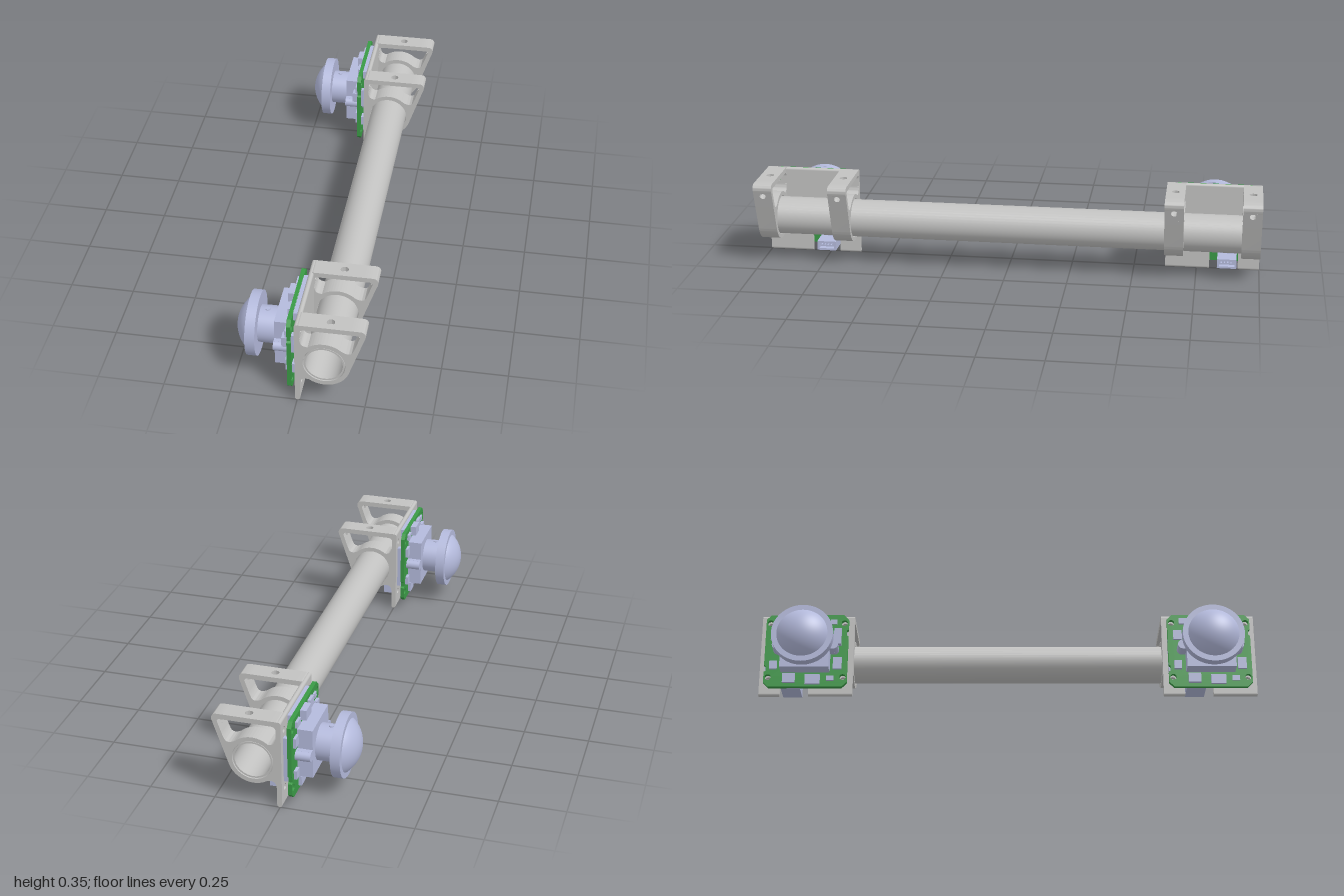
import * as THREE from 'three';
import { toCreasedNormals } from 'three/addons/utils/BufferGeometryUtils.js';

const metal = new THREE.MeshStandardMaterial({ color: 0xc2c2c1 });
metal.name = 'light grey metal';
const lilac = new THREE.MeshStandardMaterial({ color: 0xb4badc });
lilac.name = 'pale lilac';
const green = new THREE.MeshStandardMaterial({ color: 0x3a9a46 });
green.name = 'circuit green';

const AXIS_X = 0.1, AXIS_Y = 0.183;   // tube axis
const HALF = 0.1875, RIB = 0.0745;    // bracket half length, rib width
const LENS_Y = 0.185;

function add(parent, name, geo, mat) {
  const m = new THREE.Mesh(geo, mat);
  m.name = name;
  parent.add(m);
  return m;
}
function extrude(shape, depth) {
  const g = new THREE.ExtrudeGeometry(shape, { depth, bevelEnabled: false, curveSegments: 20 });
  return toCreasedNormals(g, 0.5);
}
function hole(shape, x, y, r) {
  shape.holes.push(new THREE.Path().absarc(x, y, r, 0, Math.PI * 2, true));
}
function poly(points) {
  return new THREE.Shape(points.map(p => new THREE.Vector2(p[0], p[1])));
}
// box given by its limits in x, y and z
function block(parent, name, [x0, x1], [y0, y1], [z0, z1], mat) {
  const m = add(parent, name, new THREE.BoxGeometry(x1 - x0, y1 - y0, z1 - z0), mat);
  m.position.set((x0 + x1) / 2, (y0 + y1) / 2, (z0 + z1) / 2);
  return m;
}
// cylinder along x
function rod(parent, name, r, x0, x1, y, z, mat, sides = 48) {
  const g = new THREE.CylinderGeometry(r, r, x1 - x0, sides).rotateZ(Math.PI / 2);
  const m = add(parent, name, g, mat);
  m.position.set((x0 + x1) / 2, y, z);
}
// cylinder along z
function edgeRound(parent, y, z0, z1) {
  const g = new THREE.CylinderGeometry(0.0095, 0.0095, z1 - z0, 20).rotateX(Math.PI / 2);
  const m = add(parent, 'roundedPlateEdge', g, metal);
  m.position.set(0.0015, y, (z0 + z1) / 2);
}

function clampRib() {
  const rib = new THREE.Group();
  rib.name = 'clampRib';
  // ring around the tube, with its webs to plate and strut
  const ring = new THREE.Shape();
  const deg = Math.PI / 180;
  ring.moveTo(0.009, 0.07);
  ring.lineTo(0.012, 0.085);
  ring.quadraticCurveTo(0.014, 0.112, 0.0455, 0.105);
  ring.absarc(AXIS_X, AXIS_Y, 0.095, -125 * deg, -18.7 * deg, false);
  ring.lineTo(0.2297, 0.27);
  ring.lineTo(0.2127, 0.2758);
  ring.lineTo(0.205, 0.256);
  ring.quadraticCurveTo(0.194, 0.236, 0.1636, 0.2536);
  ring.absarc(AXIS_X, AXIS_Y, 0.095, 48 * deg, 128 * deg, false);
  ring.quadraticCurveTo(0.014, 0.257, 0.012, 0.285);
  ring.lineTo(0.009, 0.285);
  hole(ring, AXIS_X, AXIS_Y, 0.078);
  add(rib, 'clampRing', extrude(ring, RIB), metal);

  // rounded corners of the upper frame
  const inner = new THREE.Shape();
  inner.moveTo(-0.008, 0.33);
  inner.lineTo(0.011, 0.32);
  inner.quadraticCurveTo(0.011, 0.335, 0.03, 0.335);
  inner.lineTo(0.03, 0.355);
  inner.lineTo(0.012, 0.355);
  inner.quadraticCurveTo(-0.008, 0.355, -0.008, 0.337);
  add(rib, 'innerCorner', extrude(inner, RIB), metal);
  const outer = new THREE.Shape();
  outer.moveTo(0.2, 0.335);
  outer.lineTo(0.214, 0.335);
  outer.quadraticCurveTo(0.229, 0.337, 0.2296, 0.3258);
  outer.lineTo(0.2466, 0.32);
  outer.bezierCurveTo(0.256, 0.34, 0.248, 0.355, 0.23, 0.355);
  outer.lineTo(0.2, 0.355);
  add(rib, 'outerCorner', extrude(outer, RIB), metal);

  // drilled top bar
  const bar = poly([[0.03, -RIB], [0.2, -RIB], [0.2, 0], [0.03, 0]]);
  hole(bar, 0.12, -RIB / 2, 0.015);
  const barGeo = extrude(bar, 0.02).rotateX(-Math.PI / 2);
  add(rib, 'topBar', barGeo, metal).position.y = 0.335;

  // drilled sloping strut
  const strut = poly([[0, 0], [0.0528, 0], [0.0528, RIB], [0, RIB]]);
  hole(strut, 0.037, RIB / 2, 0.0125);
  const frame = new THREE.Matrix4().makeBasis(
    new THREE.Vector3(0.3204, 0.9473, 0),
    new THREE.Vector3(0, 0, 1),
    new THREE.Vector3(0.9473, -0.3204, 0)).setPosition(0.2127, 0.2758, 0);
  add(rib, 'slopingStrut', extrude(strut, 0.018).applyMatrix4(frame), metal);
  return rib;
}

function bracket() {
  const g = new THREE.Group();
  g.name = 'bracket';
  // mounting plate with a cable notch in its foot (shape x runs along -z)
  const plate = poly([[-HALF, 0.0095], [-0.0115, 0.0095], [-0.0115, 0.1], [0.1025, 0.1],
    [0.1025, 0.0095], [HALF, 0.0095], [HALF, 0.3455], [-HALF, 0.3455]]);
  for (const s of [-1, 1]) for (const y of [0.067, 0.307]) hole(plate, s * 0.15, y, 0.0125);
  add(g, 'mountingPlate', extrude(plate, 0.019).rotateY(Math.PI / 2), metal).position.x = -0.008;
  edgeRound(g, 0.3455, -HALF, HALF);
  edgeRound(g, 0.0095, -HALF, -0.1025);
  edgeRound(g, 0.0095, 0.0115, HALF);
  for (const z of [-HALF, HALF - RIB]) {
    const rib = clampRib();
    rib.position.z = z;
    g.add(rib);
  }
  return g;
}

function cameraModule() {
  const g = new THREE.Group();
  g.name = 'cameraModule';
  // circuit board with cut corners and edge notches
  const half = [[-0.167, 0.045], [-0.147, 0.025], [0.147, 0.025], [0.167, 0.045],
    [0.167, 0.09], [0.16, 0.095], [0.16, 0.115], [0.167, 0.12]];
  const board = poly([...half, ...half.map(([x, y]) => [-x, 0.368 - y])]);
  for (const s of [-1, 1]) for (const y of [0.067, 0.307]) hole(board, s * 0.15, y, 0.0125);
  add(g, 'circuitBoard', extrude(board, 0.016).rotateY(Math.PI / 2), green).position.x = -0.04;

  // lens housing and its two screw posts
  block(g, 'lensHousing', [-0.098, -0.04], [0.087, 0.283], [-0.098, 0.098], lilac);
  for (const s of [-1, 1]) {
    rod(g, 'screwPost', 0.0195, -0.098, -0.01, LENS_Y, s * 0.113, lilac, 24);
    block(g, 'postWeb', [-0.098, -0.04], [0.1655, 0.2045], [s * 0.105 - 0.01, s * 0.105 + 0.01], lilac);
  }

  // lens
  rod(g, 'lensBarrel', 0.07, -0.17, -0.097, LENS_Y, 0, lilac);
  rod(g, 'lensRim', 0.1225, -0.205, -0.168, LENS_Y, 0, lilac, 64);
  const dome = new THREE.SphereGeometry(0.13, 64, 16, 0, Math.PI * 2, 0, 0.885).rotateZ(Math.PI / 2);
  add(g, 'lensDome', dome, lilac).position.set(-0.123, LENS_Y, 0);
  const screw = add(g, 'lockScrew', new THREE.CylinderGeometry(0.009, 0.009, 0.006, 16), lilac);
  screw.position.set(-0.14, LENS_Y + 0.07, 0);

  // components on the lens side: depth, y range, z range
  const front = [
    [0.024, [0.3, 0.34], [-0.06, 0.0]], [0.024, [0.205, 0.247], [0.105, 0.14]],
    [0.012, [0.295, 0.33], [0.03, 0.075]], [0.012, [0.25, 0.28], [0.11, 0.14]],
    [0.012, [0.04, 0.08], [-0.09, -0.04]], [0.01, [0.035, 0.075], [0.0, 0.06]],
    [0.012, [0.1, 0.135], [-0.145, -0.115]], [0.01, [0.23, 0.27], [-0.145, -0.11]],
    [0.01, [0.1, 0.15], [0.11, 0.145]], [0.01, [0.3, 0.325], [-0.12, -0.08]],
    [0.008, [0.05, 0.07], [0.085, 0.115]], [0.008, [0.3, 0.32], [0.095, 0.12]],
  ];
  for (const [d, y, z] of front) block(g, 'frontComponent', [-0.04 - d, -0.039], y, z, lilac);

  // components on the plate side
  const back = [
    [0.015, [0.1, 0.28], [-0.166, -0.145]], [0.015, [0.31, 0.343], [-0.11, 0.11]],
    [0.012, [0.12, 0.25], [-0.07, 0.07]], [0.01, [0.2, 0.28], [0.14, 0.16]],
    [0.01, [0.1, 0.14], [0.125, 0.155]], [0.008, [0.035, 0.075], [0.03, 0.1]],
  ];
  for (const [d, y, z] of back) block(g, 'backComponent', [-0.025, -0.024 + d], y, z, lilac);

  // cable socket reaching through the notch
  block(g, 'cableSocket', [-0.025, 0.045], [0.025, 0.063], [-0.097, -0.02], lilac);
  block(g, 'socketFloor', [0.045, 0.068], [0.025, 0.033], [-0.097, -0.02], lilac);
  block(g, 'socketTop', [0.045, 0.068], [0.055, 0.063], [-0.097, -0.02], lilac);
  for (const z of [-0.097, -0.028]) {
    block(g, 'socketCheek', [0.045, 0.068], [0.033, 0.055], [z, z + 0.008], lilac);
  }
  for (let i = 0; i < 4; i++) {
    const z = -0.078 + i * 0.013;
    block(g, 'socketPin', [0.045, 0.062], [0.041, 0.046], [z, z + 0.005], lilac);
  }
  block(g, 'socketBase', [-0.025, -0.005], [0.063, 0.095], [-0.09, -0.03], lilac);
  return g;
}

export function createModel() {
  const model = new THREE.Group();
  model.name = 'stereoCameraRig';

  // hollow cross tube
  const ring = new THREE.Shape().absarc(0, 0, 0.075, 0, Math.PI * 2, false);
  hole(ring, 0, 0, 0.0685);
  const tube = add(model, 'crossTube', extrude(ring, 1.996), metal);
  tube.position.set(AXIS_X, AXIS_Y, -0.998);

  // a bracket and camera at each end
  for (const [name, z] of [['frontUnit', 1 - HALF], ['backUnit', HALF - 1]]) {
    const unit = new THREE.Group();
    unit.name = name;
    unit.add(bracket(), cameraModule());
    unit.position.z = z;
    model.add(unit);
  }
  return model;
}
